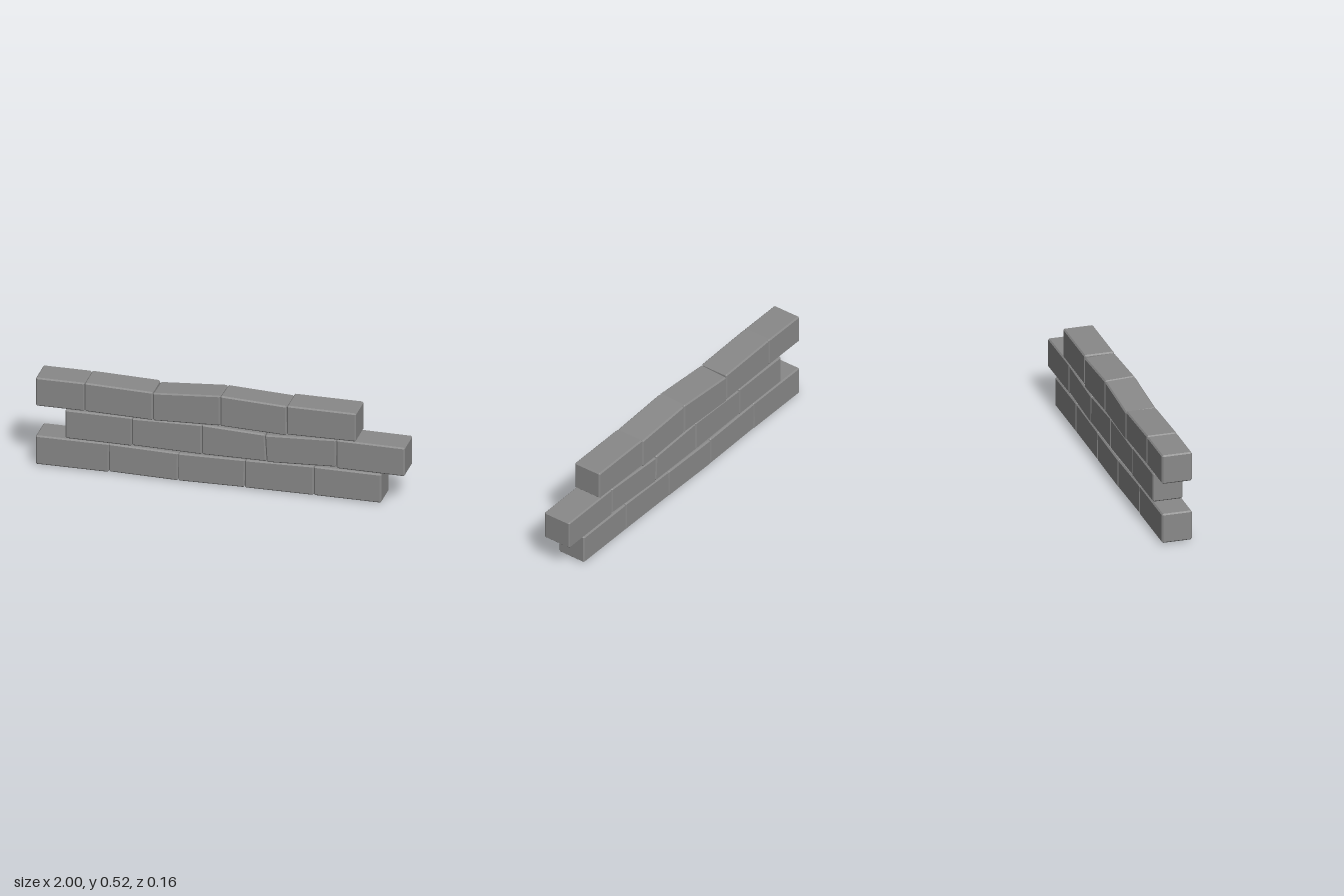
import * as THREE from 'three';
import { ConvexGeometry } from 'three/addons/geometries/ConvexGeometry.js';

const CHAMFER = 0.007;
const FRONT = 0.083, BACK = -0.082;

// Each brick: [leftX, rightX, bottomLeftY, bottomRightY, topLeftY, topRightY,
//              lean of left end, lean of right end, back edge lift]
const courses = {
  bottomCourse: [
    [-1.0, -0.604, 0.006, 0.006, 0.172, 0.172, 0, 0.003, 0],
    [-0.603, -0.229, 0.010, 0.003, 0.172, 0.163, -0.002, 0.002, -0.001],
    [-0.228, 0.132, 0.003, 0.007, 0.162, 0.167, 0, 0.002, -0.003],
    [0.133, 0.507, 0.006, 0.007, 0.167, 0.175, 0.002, 0, 0],
    [0.508, 0.873, 0.007, 0.006, 0.174, 0.172, 0, 0, 0],
  ],
  middleCourse: [
    [-0.840, -0.479, 0.175, 0.173, 0.339, 0.338, 0, 0.002, 0],
    [-0.478, -0.100, 0.177, 0.170, 0.334, 0.342, 0, 0, 0],
    [-0.099, 0.250, 0.171, 0.172, 0.342, 0.328, 0, -0.008, 0],
    [0.251, 0.628, 0.168, 0.185, 0.324, 0.342, -0.008, 0.001, 0],
    [0.629, 1.0, 0.178, 0.175, 0.343, 0.340, 0, 0, 0],
  ],
  topCourse: [
    [-1.0, -0.736, 0.344, 0.344, 0.507, 0.507, 0, 0, 0],
    [-0.735, -0.366, 0.344, 0.336, 0.508, 0.498, 0, 0, 0],
    [-0.365, 0.0, 0.335, 0.348, 0.495, 0.521, 0, 0, -0.007],
    [0.001, 0.361, 0.347, 0.335, 0.521, 0.505, 0, -0.002, -0.007],
    [0.362, 0.736, 0.341, 0.344, 0.508, 0.507, 0, 0, 0],
  ],
};

// Six-sided block with every edge and corner cut off
function brickGeometry([x0, x1, bl, br, tl, tr, leanL, leanR, lift]) {
  const points = [];
  for (const sx of [-1, 1]) for (const sy of [-1, 1]) for (const sz of [-1, 1]) {
    const lean = sx < 0 ? leanL : leanR;
    const x = (sx < 0 ? x0 : x1) + (sy > 0 ? lean : 0);
    const y = (sy < 0 ? (sx < 0 ? bl : br) : (sx < 0 ? tl : tr)) + (sz < 0 ? lift : 0);
    const z = sz > 0 ? FRONT : BACK;
    // Three points per corner, each touching one of the adjoining faces
    for (const keep of [0, 1, 2]) {
      const inset = [sx, sy, sz].map((s, axis) => (axis === keep ? 0 : -s * CHAMFER));
      points.push(new THREE.Vector3(x + inset[0], y + inset[1], z + inset[2]));
    }
  }
  return new ConvexGeometry(points);
}

export function createModel() {
  const wall = new THREE.Group();
  wall.name = 'brickWall';
  const material = new THREE.MeshStandardMaterial({ color: 0x898989, flatShading: true });

  // Three staggered courses of bricks
  for (const [name, bricks] of Object.entries(courses)) {
    const course = new THREE.Group();
    course.name = name;
    bricks.forEach((brick, i) => {
      const mesh = new THREE.Mesh(brickGeometry(brick), material);
      mesh.name = `brick${i + 1}`;
      course.add(mesh);
    });
    wall.add(course);
  }
  return wall;
}
